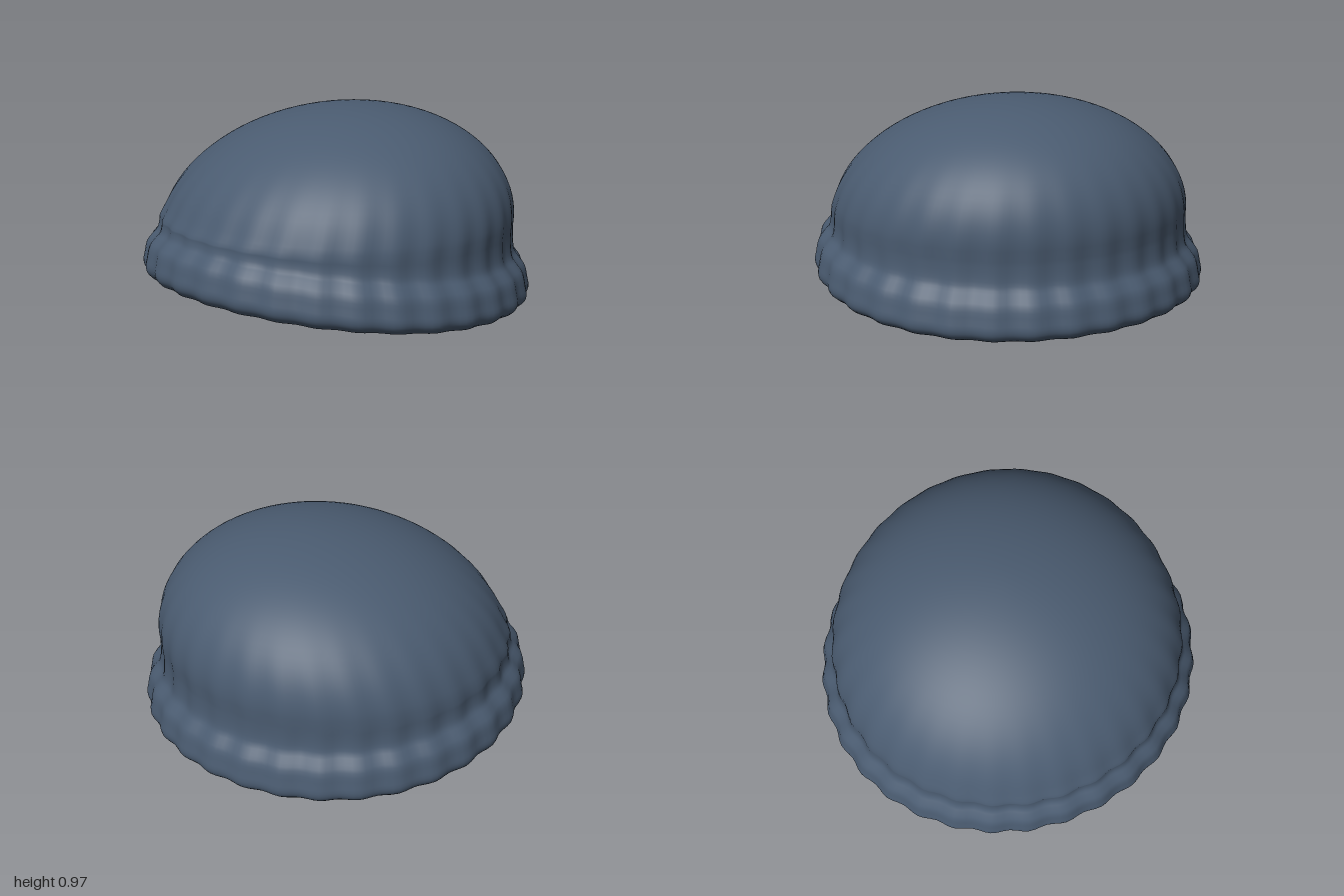
import * as THREE from 'three';
import { mergeVertices } from 'three/addons/utils/BufferGeometryUtils.js';

const RIBS = 32;
const WALL = 0.035;

// Outer profile as [radius, height]: rolled brim, crease, then elliptical crown
function outerProfile() {
  const brim = new THREE.CatmullRomCurve3([
    [0.955, 0], [0.982, 0.025], [0.99, 0.055], [0.982, 0.1], [0.968, 0.16],
    [0.94, 0.2], [0.915, 0.235], [0.905, 0.29], [0.903, 0.36]
  ].map(([r, h]) => new THREE.Vector3(r, h, 0)));
  const points = brim.getPoints(22).map(p => new THREE.Vector2(p.x, p.y));
  for (let i = 1; i <= 24; i++) {
    const a = (i / 24) * Math.PI / 2;
    points.push(new THREE.Vector2(i === 24 ? 0 : 0.903 * Math.cos(a), 0.37 + 0.6 * Math.sin(a)));
  }
  return points;
}

// Knitted shell: inner lining, rim and outer surface in one closed profile
function createShell() {
  const outer = outerProfile();
  const inner = outer.map((p, i) => {
    const a = outer[Math.max(i - 1, 0)], b = outer[Math.min(i + 1, outer.length - 1)];
    const n = new THREE.Vector2(a.y - b.y, b.x - a.x).normalize();
    if (i === 0) return new THREE.Vector2(p.x - 0.025, 0.006);
    if (i === outer.length - 1) return new THREE.Vector2(0, p.y - WALL);
    return new THREE.Vector2(Math.max(p.x + n.x * WALL, 0), p.y + n.y * WALL);
  }).reverse();
  const geometry = new THREE.LatheGeometry([...inner, ...outer], RIBS * 6);
  const pos = geometry.attributes.position;

  for (let i = 0; i < pos.count; i++) {
    const x = pos.getX(i), h = pos.getY(i), z = pos.getZ(i);
    const angle = Math.atan2(x, z);
    // Vertical ribs, strongest on the brim and fading up the crown
    const fade = 1 - THREE.MathUtils.smoothstep(h, 0.15, 0.85);
    const rib = 1 + 0.008 * fade * Math.cos(RIBS * angle);
    // The crown leans back and a little to one side
    const lean = THREE.MathUtils.clamp((h - 0.37) / 0.6, 0, 1);
    // The lower edge sweeps up towards the front
    const sweep = 0.035 + 0.075 * z + 0.045 * z * z;
    const follow = 1 - THREE.MathUtils.smoothstep(h, 0.2, 0.5);
    pos.setXYZ(i, x * rib + 0.04 * lean, h + sweep * follow, z * rib * 0.972 - 0.1 * lean);
  }

  // Weld the seam so the shading is smooth all round
  geometry.deleteAttribute('uv');
  geometry.deleteAttribute('normal');
  const welded = mergeVertices(geometry, 1e-5);
  welded.computeVertexNormals();
  return welded;
}

export function createModel() {
  const hat = new THREE.Group();
  hat.name = 'knittedHat';
  const wool = new THREE.MeshStandardMaterial({ color: 0x4a5b70 });
  wool.name = 'slate blue wool';
  const shell = new THREE.Mesh(createShell(), wool);
  shell.name = 'crownAndBrim';
  hat.add(shell);
  return hat;
}
